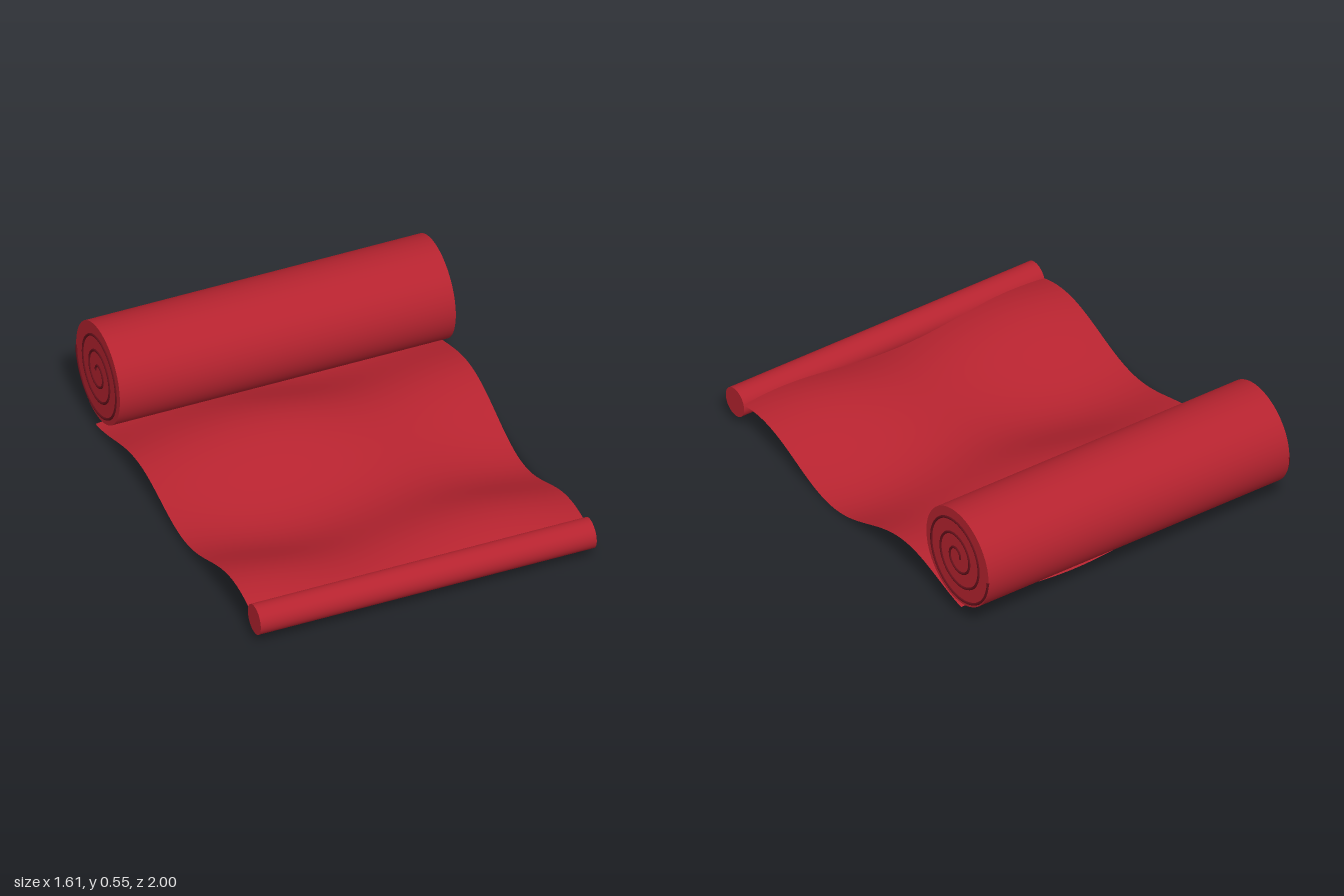
import * as THREE from 'three';

const WIDTH = 1.6;
const ROLL = { y: 0.318, z: -0.763, r: 0.237 };
const ROD = { y: 0.117, z: 0.93, r: 0.07 };

// Height of the rippling cloth: long waves along z plus a slanted ripple across x
function clothHeight(x, z) {
  const wave = 0.088 - 0.061 * Math.cos((2 * Math.PI * (z - 0.19)) / 1.06);
  return wave + 0.025 * Math.cos(5.15 * (x - 0.19) - 3.17 * (z - 0.2));
}

export function createModel() {
  const group = new THREE.Group();
  const red = new THREE.MeshStandardMaterial({ color: 0xb5232f });
  red.name = 'red cloth';
  const redSheet = red.clone();
  redSheet.side = THREE.DoubleSide;
  const dark = new THREE.MeshStandardMaterial({ color: 0x64101a });
  dark.name = 'dark red';

  const add = (name, geometry, material) => {
    const mesh = new THREE.Mesh(geometry, material);
    mesh.name = name;
    group.add(mesh);
    return mesh;
  };

  // Unrolled cloth
  const front = ROD.z, back = -0.79;
  const cloth = new THREE.PlaneGeometry(WIDTH, front - back, 64, 80);
  cloth.rotateX(-Math.PI / 2);
  cloth.translate(0, 0, (front + back) / 2);
  const p = cloth.attributes.position;
  for (let i = 0; i < p.count; i++) p.setY(i, clothHeight(p.getX(i), p.getZ(i)));
  cloth.computeVertexNormals();
  add('cloth', cloth, redSheet);

  // Large roll at the back and small rolled edge at the front
  const addRoll = (name, { y, z, r }) => {
    const geometry = new THREE.CylinderGeometry(r, r, WIDTH, 64);
    geometry.rotateZ(Math.PI / 2);
    add(name, geometry, red).position.set(0, y, z);
  };
  addRoll('backRoll', ROLL);
  addRoll('frontRoll', ROD);

  // Spiral layers on both ends of the large roll
  const turns = 3, steps = 96;
  for (const side of [1, -1]) {
    const points = [];
    for (let i = 0; i <= steps; i++) {
      const t = i / steps, a = t * turns * 2 * Math.PI, r = 0.02 + 0.213 * t;
      points.push(new THREE.Vector3(
        (side * WIDTH) / 2, ROLL.y + r * Math.sin(a), ROLL.z - r * Math.cos(a)));
    }
    const path = new THREE.CatmullRomCurve3(points);
    add(side > 0 ? 'leftSpiral' : 'rightSpiral', new THREE.TubeGeometry(path, 200, 0.006, 8), dark);
  }
  return group;
}
